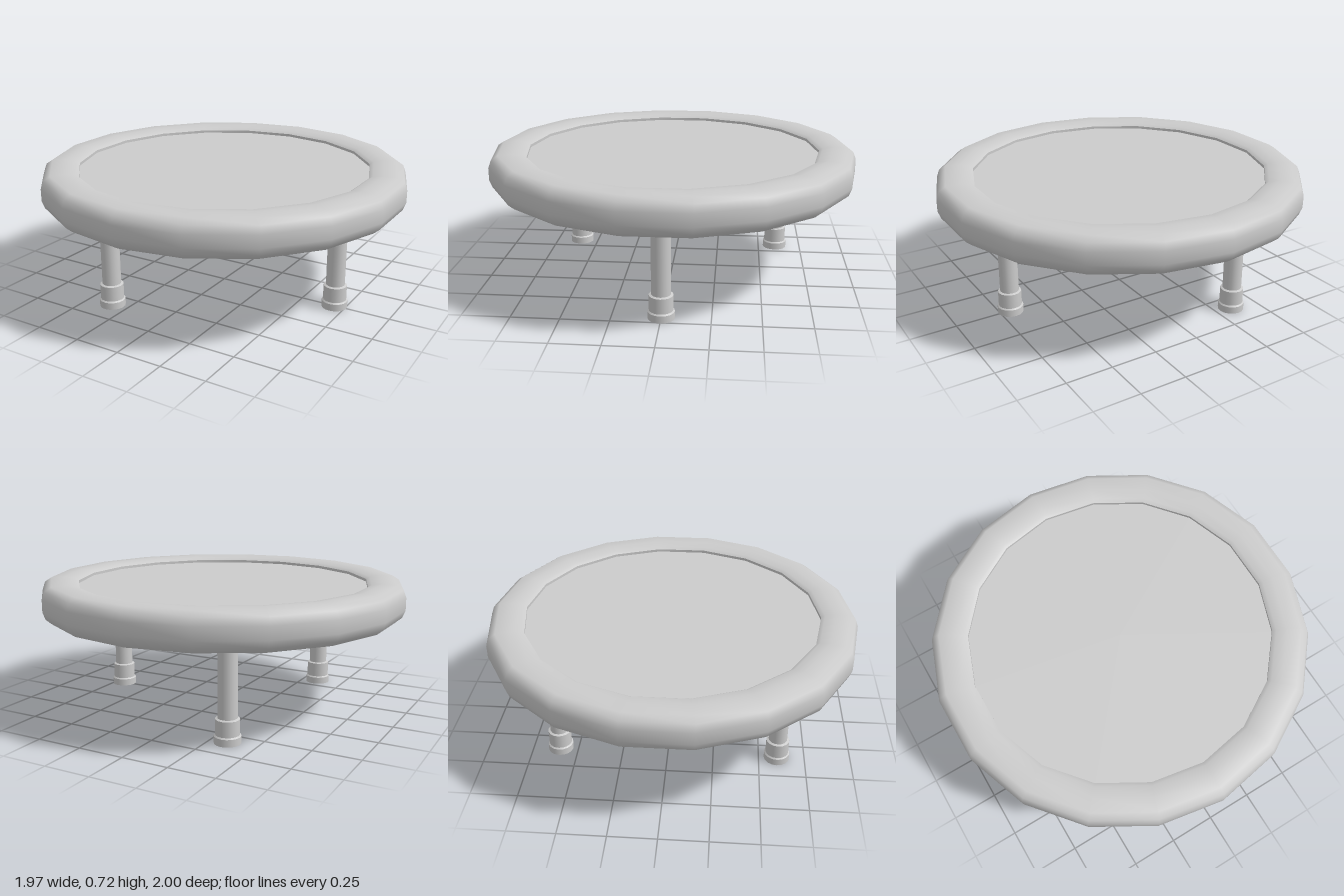
import * as THREE from 'three';

const SIDES = 18;
const material = new THREE.MeshStandardMaterial({ color: 0xcccccc, side: THREE.DoubleSide });

// Revolve a profile of [radius, y] points
function lathe(name, profile, segments) {
  const points = profile.map(([r, y]) => new THREE.Vector2(r, y));
  const mesh = new THREE.Mesh(new THREE.LatheGeometry(points, segments), material);
  mesh.name = name;
  return mesh;
}

// Straight leg with a stepped collar and a hollow foot
function createLeg() {
  const leg = new THREE.Group();
  leg.name = 'leg';
  leg.add(
    lathe('legTube', [[0.05, 0.125], [0.05, 0.53]], 16),
    lathe('collarWall', [[0.062, 0.045], [0.062, 0.125]], 16),
    lathe('collarTop', [[0.062, 0.125], [0.05, 0.13]], 16),
    lathe('footWall', [[0.069, 0], [0.069, 0.038]], 16),
    lathe('footTop', [[0.069, 0.038], [0.062, 0.045]], 16),
    lathe('footInside', [[0.06, 0.045], [0.06, 0]], 16),
    lathe('footLip', [[0.06, 0], [0.069, 0]], 16),
    lathe('footCeiling', [[0, 0.045], [0.06, 0.045]], 16)
  );
  return leg;
}

export function createModel() {
  const model = new THREE.Group();
  model.name = 'roundTrampoline';

  // Padded rim, rounded on the outside and open underneath
  model.add(lathe('paddedRim', [
    [0.955, 0.52], [0.985, 0.545], [1, 0.585], [1, 0.65],
    [0.985, 0.69], [0.95, 0.713], [0.875, 0.716], [0.82, 0.708], [0.8, 0.695],
  ], SIDES));
  model.add(lathe('rimInnerLip', [[0.8, 0.695], [0.8, 0.68]], SIDES));

  // Shallow conical skirt below the rim
  model.add(lathe('underSkirt', [[0.585, 0.465], [0.955, 0.52]], SIDES));

  // Flat mat, slightly sunk into the rim
  model.add(lathe('mat', [[0.8, 0.68], [0, 0.68]], SIDES));

  // Three legs, evenly spaced
  for (let i = 0; i < 3; i++) {
    const angle = (i * Math.PI * 2) / 3;
    const leg = createLeg();
    leg.position.set(0.69 * Math.cos(angle), 0, 0.69 * Math.sin(angle));
    model.add(leg);
  }
  return model;
}
